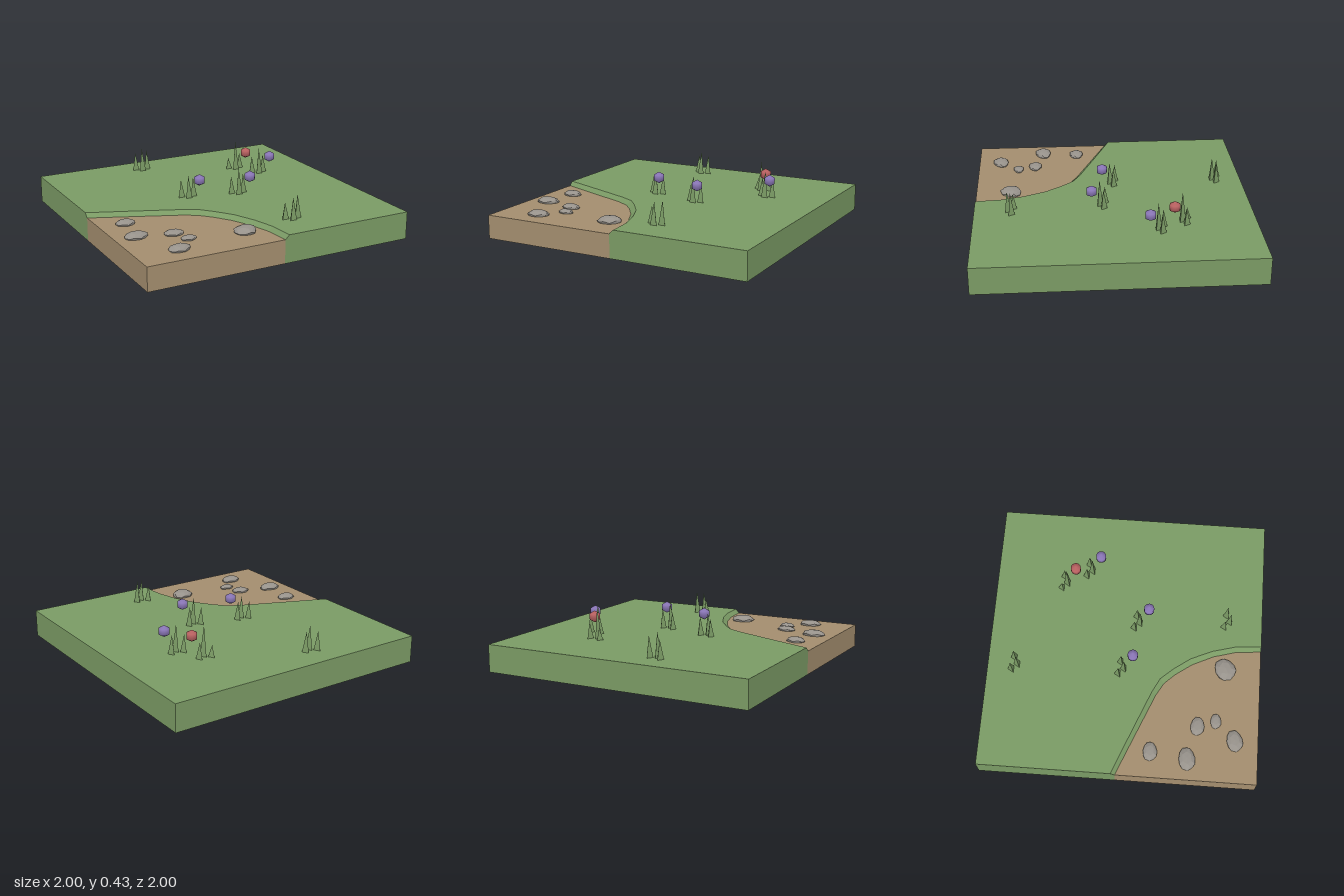
import * as THREE from 'three';

const material = (name, color, options = {}) => {
  const m = new THREE.MeshStandardMaterial({ color, ...options });
  m.name = name;
  return m;
};

// Plan outline (x, z pairs) to a block standing on y = 0
function plateGeometry(points, height, steps = 1) {
  const shape = new THREE.Shape(points.map(([x, z]) => new THREE.Vector2(x, -z)));
  return new THREE.ExtrudeGeometry(shape, { depth: height, steps, bevelEnabled: false }).rotateX(-Math.PI / 2);
}

export function createModel() {
  const model = new THREE.Group();
  model.name = 'meadowTile';
  const grass = material('grass green', 0x7a9a64);
  const blade = material('blade green', 0x7a9a64, { flatShading: true });
  const dirt = material('dirt brown', 0xa38d6e);
  const stone = material('stone grey', 0x97928b, { flatShading: true });
  const red = material('flower red', 0xbb6262);
  const purple = material('flower purple', 0x8b77b8);

  const add = (name, geometry, mat, parent = model) => {
    const mesh = new THREE.Mesh(geometry, mat);
    mesh.name = name;
    parent.add(mesh);
    return mesh;
  };

  // Upper and lower edge of the sloping bank
  const dirtTop = 0.17, grassTop = 0.2;
  const upper = [[-1, -0.04], [-0.69, 0.085], [-0.375, 0.215], [-0.27, 0.27], [-0.19, 0.36],
    [-0.1, 0.485], [-0.03, 0.645], [0.015, 0.81], [0.03, 1]];
  const lower = [[-1, -0.01], [-0.7, 0.115], [-0.39, 0.245], [-0.295, 0.3], [-0.22, 0.38],
    [-0.135, 0.5], [-0.062, 0.655], [-0.017, 0.815], [0, 1]];

  // Grass block: everything below the top is pulled back to the lower bank edge
  const grassGeometry = plateGeometry([...upper, [1, 1], [1, -1], [-1, -1]], grassTop, 2);
  const p = grassGeometry.attributes.position;
  for (let i = 0; i < p.count; i++) {
    if (p.getY(i) > grassTop - 0.01) continue;
    if (p.getY(i) > 0.05) p.setY(i, dirtTop);
    const k = upper.findIndex(([x, z]) => Math.hypot(x - p.getX(i), z - p.getZ(i)) < 1e-4);
    if (k >= 0) {
      p.setX(i, lower[k][0]);
      p.setZ(i, lower[k][1]);
    }
  }
  grassGeometry.computeVertexNormals();
  add('grassGround', grassGeometry, grass);

  // Lower dirt corner
  add('dirtGround', plateGeometry([...lower, [-1, 1]], dirtTop), dirt);

  // Flat stones: x, z, half width, half depth, half height, turn
  const stones = [
    [-0.81, 0.23, 0.07, 0.052, 0.028, 0], [-0.845, 0.495, 0.085, 0.06, 0.032, 0.1],
    [-0.6, 0.56, 0.07, 0.05, 0.024, -0.1], [-0.555, 0.69, 0.056, 0.039, 0.02, 0],
    [-0.69, 0.83, 0.08, 0.058, 0.03, 0.2], [-0.155, 0.74, 0.085, 0.075, 0.036, 0.5],
  ];
  const stoneShape = new THREE.IcosahedronGeometry(1, 1);
  const s = stoneShape.attributes.position;
  for (let i = 0; i < s.count; i++) {
    const x = s.getX(i), y = s.getY(i), z = s.getZ(i);
    const wobble = 1 + 0.07 * Math.sin(5 * x + 3 * z + 4 * y);
    s.setXYZ(i, x * wobble, y * wobble, z * wobble * (1 - 0.15 * x));
  }
  for (const [x, z, w, d, h, turn] of stones) {
    const mesh = add('stone', stoneShape, stone);
    mesh.position.set(x, dirtTop + 0.008, z);
    mesh.scale.set(w, h, d);
    mesh.rotation.y = turn;
  }

  // Grass tufts of three pointed blades: x, z, then left, middle and right heights
  const tufts = [
    [-0.235, -0.785, 0.14, 0.175, 0.15], [0.435, -0.475, 0.085, 0.225, 0.12],
    [0.545, -0.295, 0.13, 0.2, 0.14], [-0.215, -0.005, 0.13, 0.165, 0.14],
    [0.15, 0.09, 0.13, 0.2, 0.145], [0.205, 0.755, 0.12, 0.16, 0.17],
  ];
  const offsets = [[-0.04, -0.04], [0, 0], [0.05, -0.025]];
  for (const [x, z, ...heights] of tufts) {
    const tuft = new THREE.Group();
    tuft.name = 'grassTuft';
    tuft.position.set(x, grassTop, z + 0.005);
    offsets.forEach(([dx, dz], i) => {
      const cone = new THREE.ConeGeometry(0.029, heights[i], 3).rotateY(Math.PI);
      add('grassBlade', cone, blade, tuft).position.set(dx, heights[i] / 2, dz);
    });
    model.add(tuft);
  }

  // Flower heads
  const flowers = [[-0.155, 0.06, purple], [0.21, 0.155, purple], [0.495, -0.41, red], [0.605, -0.23, purple]];
  const flowerShape = new THREE.SphereGeometry(0.043, 16, 3);
  for (const [x, z, mat] of flowers) add('flowerHead', flowerShape, mat).position.set(x, 0.343, z);

  return model;
}
